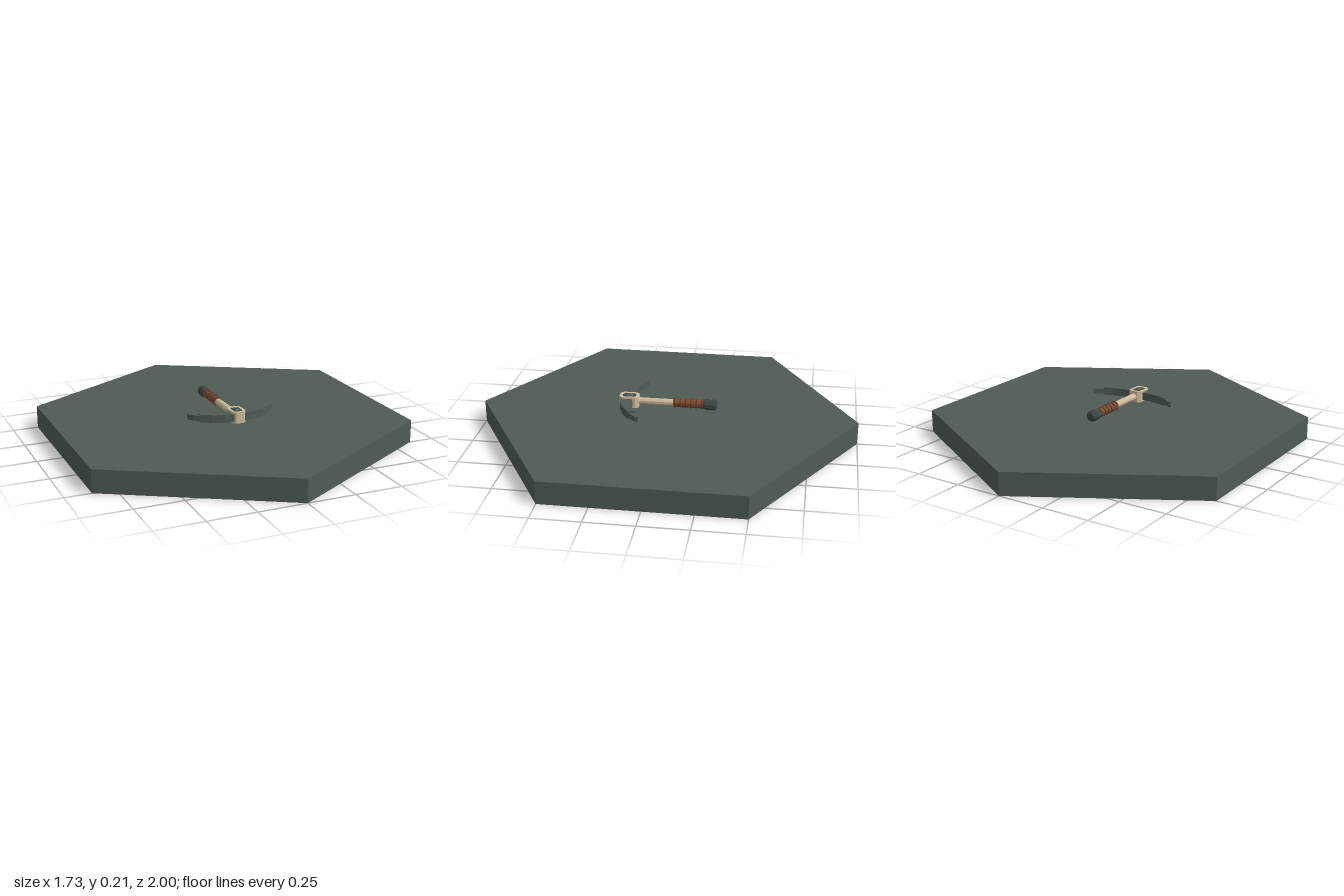
import * as THREE from 'three';

const mat = (name, color) => Object.assign(new THREE.MeshStandardMaterial({ color, flatShading: true }), { name });

export function createModel() {
  const stone = mat('slate', 0x4f5b56);
  const iron = mat('dark iron', 0x3b4746);
  const wood = mat('pale wood', 0xcdb999);
  const leather = mat('brown leather', 0x7d4a2e);
  const strap = mat('dark leather', 0x5a3826);

  const model = new THREE.Group();
  const pick = new THREE.Group();
  pick.name = 'pickaxe';
  pick.position.y = 0.175;

  function add(parent, name, geometry, material) {
    const mesh = new THREE.Mesh(geometry, material);
    mesh.name = name;
    parent.add(mesh);
    return mesh;
  }

  // Hexagonal slab, points along z
  add(model, 'hexagonSlab', new THREE.CylinderGeometry(1, 1, 0.12, 6).translate(0, 0.06, 0), stone);
  model.add(pick);

  // Round part lying along z, from [z, radius] pairs in rising z
  const turned = (profile) => {
    const points = profile.map(([z, r]) => new THREE.Vector2(r, z));
    return new THREE.LatheGeometry(points, 10).rotateX(Math.PI / 2);
  };
  const rod = (z0, z1, r) => turned([[z0, 0], [z0, r], [z1, r], [z1, 0]]);

  add(pick, 'handle', rod(-0.2, 0.18, 0.018), wood);
  add(pick, 'grip', rod(-0.19, -0.03, 0.023), leather);
  for (let i = 0; i < 6; i++) {
    const z = -0.183 + i * 0.029;
    add(pick, 'gripBand', rod(z - 0.003, z + 0.003, 0.0255), strap);
  }
  add(pick, 'pommel', turned([[-0.26, 0], [-0.26, 0.021], [-0.249, 0.029],
    [-0.205, 0.029], [-0.19, 0.024], [-0.19, 0]]), iron);
  add(pick, 'pommelStud', new THREE.BoxGeometry(0.012, 0.004, 0.012).translate(0, 0.0285, -0.228), leather);

  // Flat plate from an [x, z] outline, centred on the tool's height
  const plate = (outline, height, hole) => {
    const shape = new THREE.Shape(outline.map(([x, z]) => new THREE.Vector2(x, z)));
    if (hole) shape.holes.push(new THREE.Path(hole.map(([x, z]) => new THREE.Vector2(x, z))));
    return new THREE.ExtrudeGeometry(shape, { depth: height, bevelEnabled: false })
      .rotateX(Math.PI / 2).translate(0, height / 2, 0);
  };

  // Curved head, with thinner tips: a point on one side, a chisel on the other
  const inner = [[-0.19, 0.158], [-0.14, 0.174], [-0.08, 0.183], [0, 0.186], [0.08, 0.181], [0.14, 0.167], [0.19, 0.147]];
  const outer = [[0.19, 0.185], [0.14, 0.217], [0.08, 0.241], [0, 0.25], [-0.08, 0.241], [-0.14, 0.219], [-0.19, 0.187]];
  add(pick, 'head', plate([...inner, ...outer], 0.041), stone);
  add(pick, 'pointTip', plate([[-0.242, 0.133], [-0.19, 0.158], [-0.19, 0.187], [-0.222, 0.161]], 0.028), stone);
  add(pick, 'chiselTip', plate([[0.19, 0.147], [0.24, 0.117], [0.24, 0.133], [0.19, 0.185]], 0.028), stone);

  // Collar around the head, with its wedge
  const octagon = (w, d, c) => [[-w, -d + c], [-w + c, -d], [w - c, -d], [w, -d + c],
    [w, d - c], [w - c, d], [-w + c, d], [-w, d - c]].map(([x, z]) => [x, z + 0.204]);
  add(pick, 'collar', plate(octagon(0.037, 0.051, 0.016), 0.06, octagon(0.024, 0.036, 0.01)), wood);
  add(pick, 'collarCore', plate(octagon(0.024, 0.036, 0.01), 0.054), iron);
  const wedge = new THREE.CylinderGeometry(0.006, 0.017, 0.01, 8);
  add(pick, 'wedge', wedge.scale(1, 1, 1.5).translate(0, 0.032, 0.204), stone);

  return model;
}
